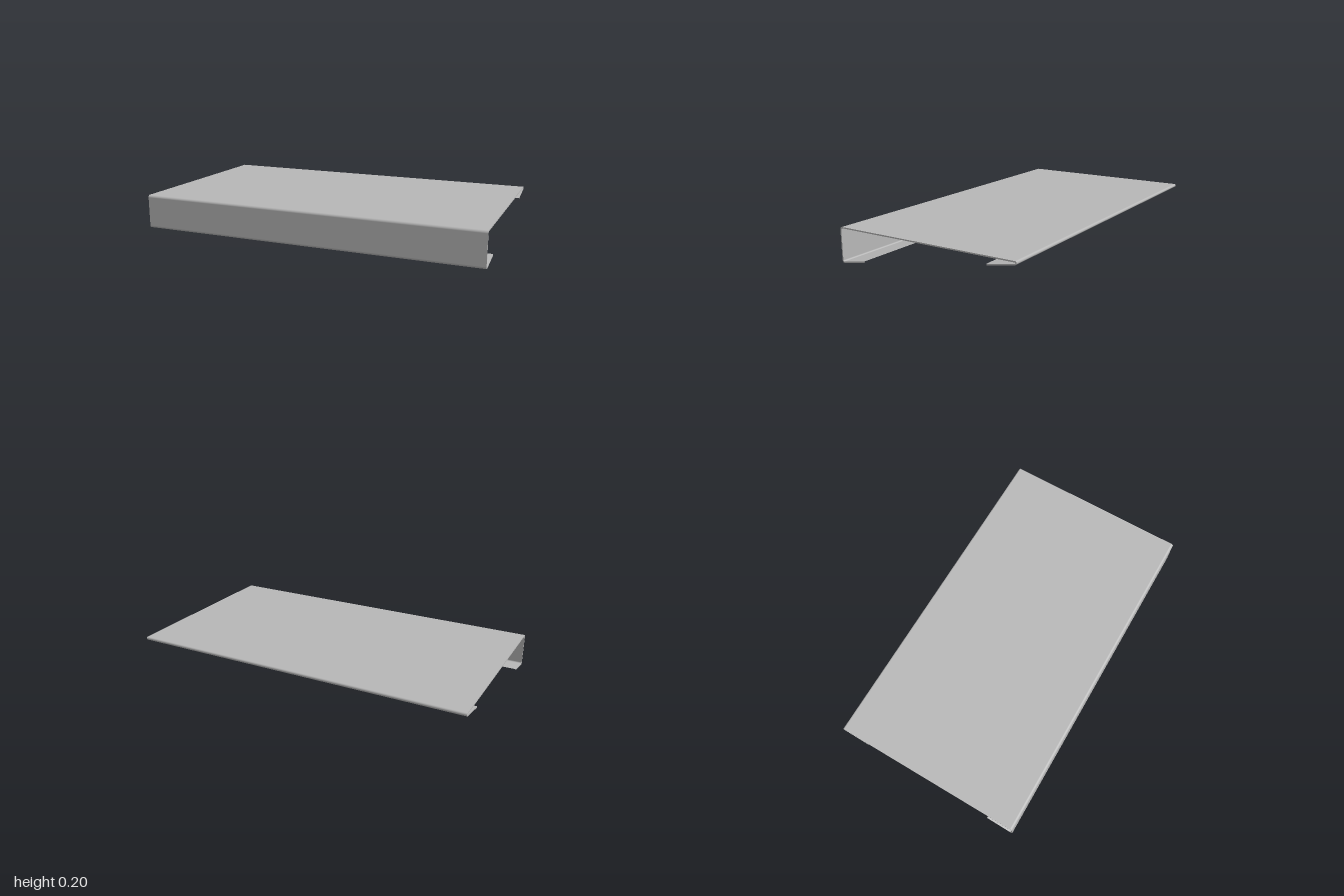
import * as THREE from 'three';

const HALF_LENGTH = 1;
const HALF_THICK = 0.0035;
const BEND_STEPS = 8;

// Centreline corners of the folded sheet as (z, y), with the bend radius at each
const CORNERS = [
  { p: [0.391, 0.03], r: 0 },
  { p: [0.5525, 0.0015], r: 0.011 },
  { p: [0.5525, 0.1948], r: 0.011 },
  { p: [-0.5525, 0.1948], r: 0.006 },
  { p: [-0.5525, 0.1832], r: 0.006 },
  { p: [-0.39, 0.1545], r: 0 },
];
const FLATS = ['lowerLip', 'frontFace', 'topPanel', 'backEdge', 'backLip'];
const BENDS = ['lowerFrontBend', 'upperFrontBend', 'upperBackBend', 'lowerBackBend'];

// Sheet strip that follows samples { p, n } and is extruded along x
function sheetStrip(samples, capStart, capEnd) {
  const positions = [], normals = [];
  const point = (s, side, x) =>
    new THREE.Vector3(x, s.p.y + s.n.y * side * HALF_THICK, s.p.x + s.n.x * side * HALF_THICK);
  const quad = (pts, ns) => {
    const cross = pts[1].clone().sub(pts[0]).cross(pts[2].clone().sub(pts[0]));
    const order = cross.dot(ns[0]) > 0 ? [0, 1, 2, 0, 2, 3] : [0, 2, 1, 0, 3, 2];
    for (const i of order) {
      positions.push(...pts[i].toArray());
      normals.push(...ns[i].toArray());
    }
  };
  const flat = (pts, n) => quad(pts, [n, n, n, n]);
  const L = HALF_LENGTH;

  for (let i = 0; i < samples.length - 1; i++) {
    const a = samples[i], b = samples[i + 1];
    // outer and inner skins
    for (const side of [1, -1]) {
      const na = new THREE.Vector3(0, a.n.y * side, a.n.x * side);
      const nb = new THREE.Vector3(0, b.n.y * side, b.n.x * side);
      quad([point(a, side, -L), point(a, side, L), point(b, side, L), point(b, side, -L)],
        [na, na, nb, nb]);
    }
    // cut ends at left and right
    for (const x of [L, -L]) {
      flat([point(a, 1, x), point(a, -1, x), point(b, -1, x), point(b, 1, x)],
        new THREE.Vector3(Math.sign(x), 0, 0));
    }
  }

  // long raw edges of the lips
  const rawEdge = (s, sign) => flat(
    [point(s, 1, -L), point(s, 1, L), point(s, -1, L), point(s, -1, -L)],
    new THREE.Vector3(0, s.n.x * sign, -s.n.y * sign));
  if (capStart) rawEdge(samples[0], 1);
  if (capEnd) rawEdge(samples[samples.length - 1], -1);

  const geometry = new THREE.BufferGeometry();
  geometry.setAttribute('position', new THREE.Float32BufferAttribute(positions, 3));
  geometry.setAttribute('normal', new THREE.Float32BufferAttribute(normals, 3));
  return geometry;
}

export function createModel() {
  const group = new THREE.Group();
  group.name = 'foldedSheetPanel';
  const metal = new THREE.MeshStandardMaterial({ color: 0xb8b8b8 });
  metal.name = 'greySheetMetal';

  const add = (name, samples, capStart = false, capEnd = false) => {
    const mesh = new THREE.Mesh(sheetStrip(samples, capStart, capEnd), metal);
    mesh.name = name;
    group.add(mesh);
  };

  const pts = CORNERS.map(c => new THREE.Vector2(...c.p));
  const dirs = FLATS.map((_, i) => pts[i + 1].clone().sub(pts[i]).normalize());
  const norms = dirs.map(d => new THREE.Vector2(d.y, -d.x));
  const turns = BENDS.map((_, i) => Math.atan2(dirs[i].cross(dirs[i + 1]), dirs[i].dot(dirs[i + 1])));
  // length each bend takes from its neighbouring flats
  const trims = [0, ...turns.map((t, i) => CORNERS[i + 1].r * Math.tan(Math.abs(t) / 2)), 0];

  // flat panels
  FLATS.forEach((name, i) => {
    const start = pts[i].clone().addScaledVector(dirs[i], trims[i]);
    const end = pts[i + 1].clone().addScaledVector(dirs[i], -trims[i + 1]);
    add(name, [{ p: start, n: norms[i] }, { p: end, n: norms[i] }],
      i === 0, i === FLATS.length - 1);
  });

  // rounded bends
  BENDS.forEach((name, i) => {
    const radius = CORNERS[i + 1].r * Math.sign(turns[i]);
    const centre = pts[i + 1].clone()
      .addScaledVector(dirs[i], -trims[i + 1])
      .addScaledVector(norms[i], -radius);
    const samples = [];
    for (let k = 0; k <= BEND_STEPS; k++) {
      const n = norms[i].clone().rotateAround(new THREE.Vector2(), turns[i] * k / BEND_STEPS);
      samples.push({ p: centre.clone().addScaledVector(n, radius), n });
    }
    add(name, samples);
  });

  return group;
}
